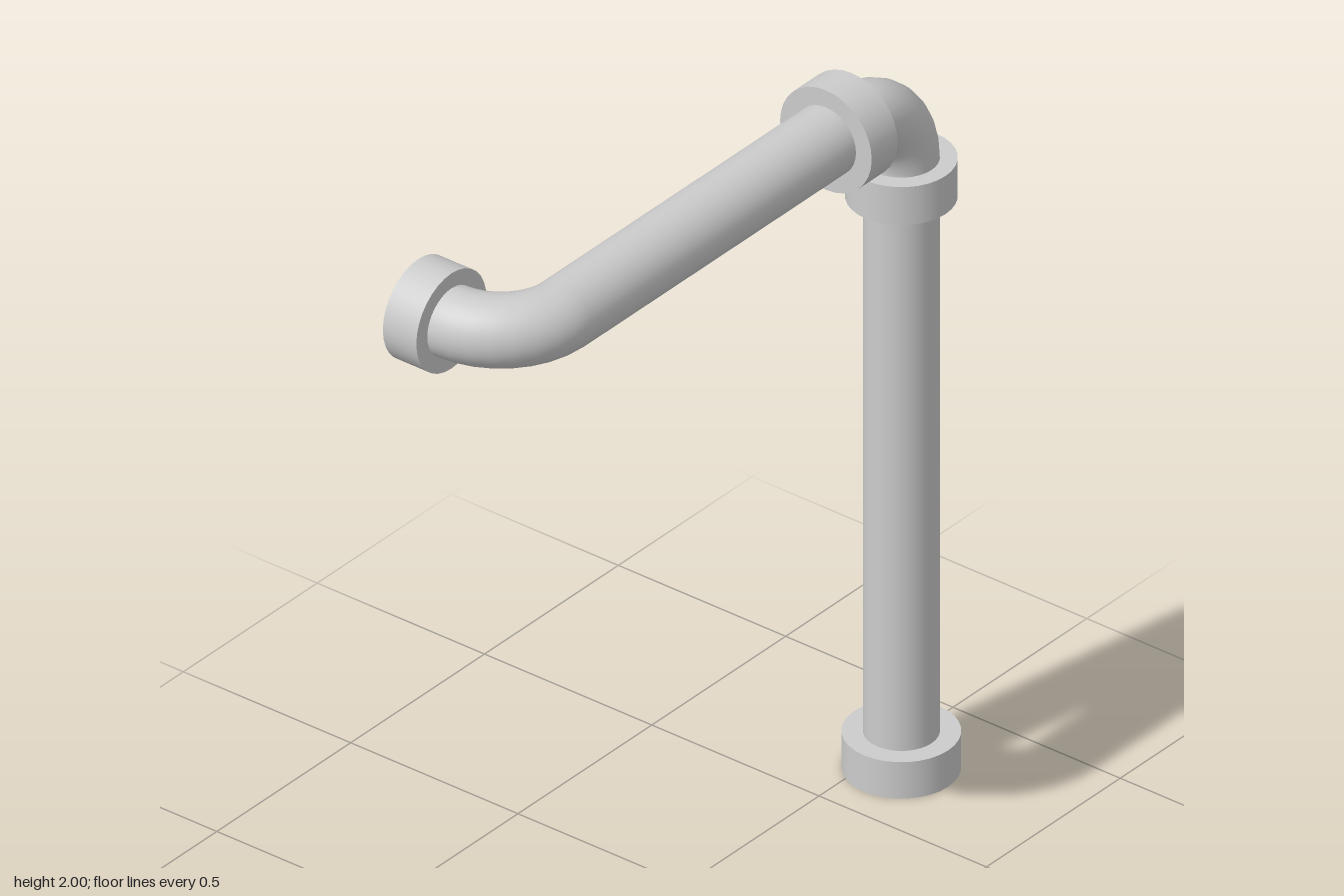
import * as THREE from 'three';

export function createModel() {
  const group = new THREE.Group();
  const material = new THREE.MeshStandardMaterial({ color: 0xcccccc });
  const SIDES = 32;
  const PIPE_R = 0.09, BEND_R = 0.185;
  const X = 0.07, BACK_Z = -0.72, TOP_Y = 1.863, FRONT_Z = 0.73;
  // ends of the straight runs, where the elbows begin
  const riserTop = TOP_Y - BEND_R, armBack = BACK_Z + BEND_R;
  const armFront = FRONT_Z - BEND_R, outletX = X - BEND_R;

  const add = (name, geometry) => {
    const mesh = new THREE.Mesh(geometry, material);
    mesh.name = name;
    group.add(mesh);
    return mesh;
  };

  // Cylinder running between two points
  const rod = (name, from, to, radius, open = false) => {
    const a = new THREE.Vector3(...from), b = new THREE.Vector3(...to);
    const mesh = add(name, new THREE.CylinderGeometry(radius, radius, a.distanceTo(b), SIDES, 1, open));
    mesh.position.copy(a).add(b).multiplyScalar(0.5);
    mesh.quaternion.setFromUnitVectors(new THREE.Vector3(0, 1, 0), b.sub(a).normalize());
  };

  // Quarter-turn elbow around a bend centre
  const elbow = (name, centre, rotation) => {
    const mesh = add(name, new THREE.TorusGeometry(BEND_R, PIPE_R, SIDES, 8, Math.PI / 2));
    mesh.position.set(...centre);
    mesh.rotation.set(...rotation);
  };

  // Pipe: riser, upper elbow, horizontal arm, front elbow
  rod('riserPipe', [X, 0.02, BACK_Z], [X, riserTop, BACK_Z], PIPE_R, true);
  elbow('upperElbow', [X, riserTop, armBack], [0, Math.PI / 2, 0]);
  rod('armPipe', [X, TOP_Y, armBack], [X, TOP_Y, armFront], PIPE_R, true);
  elbow('frontElbow', [outletX, TOP_Y, armFront], [Math.PI / 2, 0, 0]);

  // Collars
  rod('baseCollar', [X, 0, BACK_Z], [X, 0.1, BACK_Z], 0.14);
  rod('riserCollar', [X, 1.573, BACK_Z], [X, riserTop, BACK_Z], 0.132);
  rod('armCollar', [X, TOP_Y, armBack], [X, TOP_Y, armBack + 0.097], 0.137);
  rod('endCollar', [outletX - 0.1, TOP_Y, FRONT_Z], [outletX, TOP_Y, FRONT_Z], 0.131);

  return group;
}
